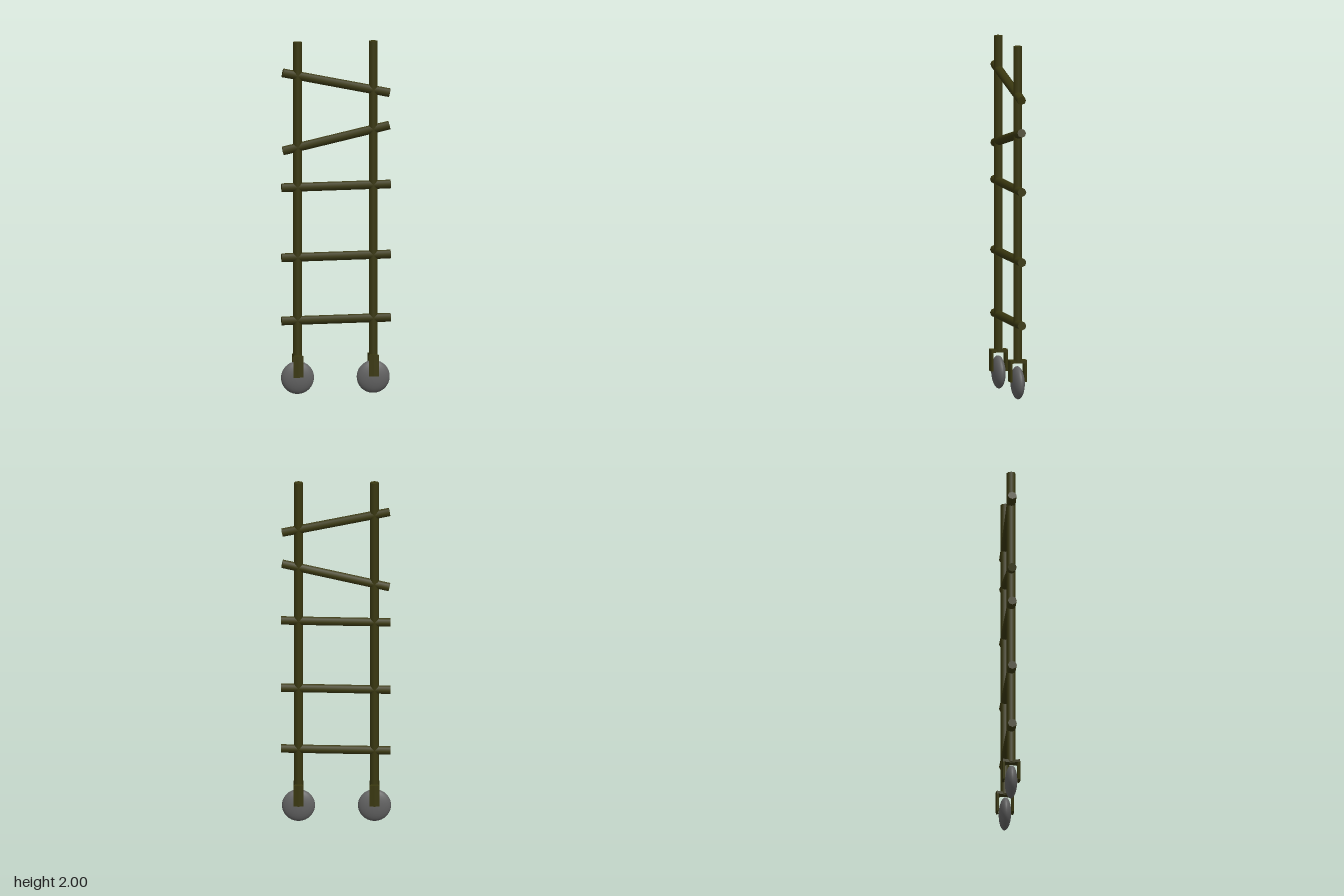
import * as THREE from 'three';

const wood = new THREE.MeshStandardMaterial({ color: 0x3a3810 });
wood.name = 'dark olive wood';
const rubber = new THREE.MeshStandardMaterial({ color: 0x626262 });
rubber.name = 'grey wheel';

function add(parent, name, geometry, material) {
  const mesh = new THREE.Mesh(geometry, material);
  mesh.name = name;
  parent.add(mesh);
  return mesh;
}

// Round bar between two points
function bar(parent, name, a, b, radius) {
  const dir = b.clone().sub(a);
  const mesh = add(parent, name, new THREE.CylinderGeometry(radius, radius, dir.length(), 8), wood);
  mesh.position.copy(a).add(b).multiplyScalar(0.5);
  mesh.quaternion.setFromUnitVectors(new THREE.Vector3(0, 1, 0), dir.normalize());
}

// Flat outline in x and z, raised from y = bottom to y = top
function slab(points, bottom, top) {
  const shape = new THREE.Shape(points.map(([x, z]) => new THREE.Vector2(x, -z)));
  const geometry = new THREE.ExtrudeGeometry(shape, { depth: top - bottom, bevelEnabled: false });
  return geometry.rotateX(-Math.PI / 2).translate(0, bottom, 0);
}

// Wheel with its two-pronged fork
function caster(parent, name, x) {
  const group = new THREE.Group();
  group.name = name;
  group.position.x = x;
  parent.add(group);

  const wheel = add(group, 'wheel', new THREE.SphereGeometry(0.093, 32, 20), rubber);
  wheel.scale.z = 0.37;
  wheel.position.y = 0.093;

  // Prongs flare outward with a ridged outer face
  const prong = [[-0.021, 0.035], [0, 0.039], [0.021, 0.035], [0.028, 0.047], [0, 0.052], [-0.028, 0.047]];
  const bridge = [[-0.016, 0], [-0.028, 0.047], [0, 0.052], [0.028, 0.047],
    [0.016, 0], [0.028, -0.047], [0, -0.052], [-0.028, -0.047]];
  for (const side of [1, -1]) {
    add(group, 'forkProng', slab(prong.map(([px, pz]) => [px, pz * side]), 0.1, 0.207), wood);
  }
  add(group, 'forkBridge', slab(bridge, 0.205, 0.222), wood);
}

export function createModel() {
  const model = new THREE.Group();
  model.name = 'wheeledLadder';
  const body = new THREE.Group();
  body.name = 'ladder';
  body.rotation.y = -0.01;
  body.position.z = -0.001;
  model.add(body);

  // Uprights on casters
  for (const [side, x] of [['right', -0.217], ['left', 0.209]]) {
    bar(body, side + 'Upright', new THREE.Vector3(x, 0.21, 0), new THREE.Vector3(x, 2, 0), 0.025);
    caster(body, side + 'Caster', x);
  }

  // Crooked rungs: x reach, height at each end
  const rungs = [[0.307, 0.416, 0.428], [0.307, 0.775, 0.787], [0.307, 1.173, 1.185],
    [0.3, 1.382, 1.52], [0.301, 1.826, 1.704]];
  for (const [reach, y0, y1] of rungs) {
    bar(body, 'rung', new THREE.Vector3(-reach, y0, 0), new THREE.Vector3(reach, y1, 0), 0.025);
  }
  return model;
}
